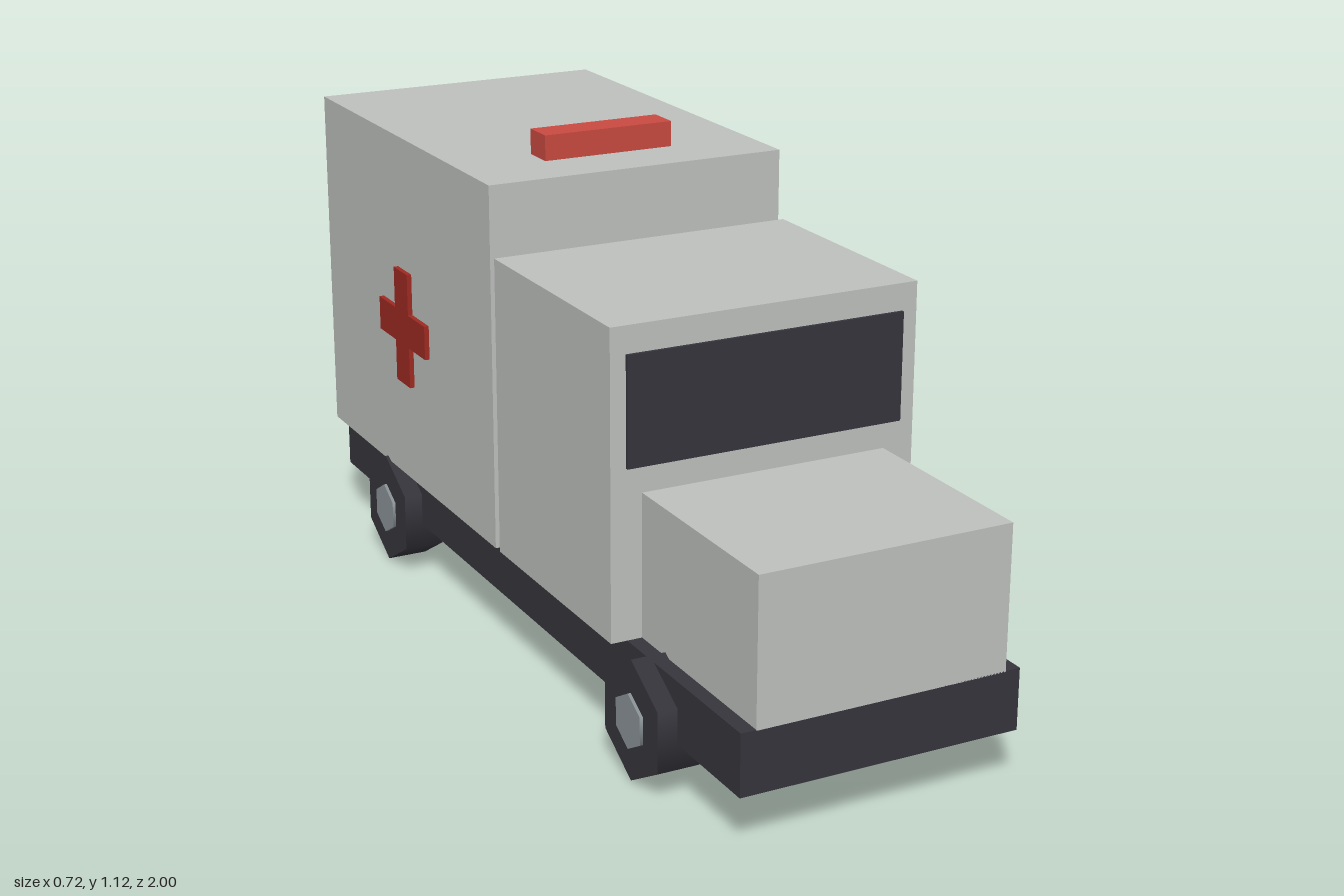
import * as THREE from 'three';

const mat = (name, color) => {
  const m = new THREE.MeshStandardMaterial({ color });
  m.name = name;
  return m;
};

export function createModel() {
  const group = new THREE.Group();
  const body = mat('body grey', 0xbfc1bf);
  const dark = mat('dark charcoal', 0x36353c);
  const lightRed = mat('light red', 0xca4a41);
  const crossRed = mat('cross red', 0x9f2b22);
  const steel = mat('hub steel', 0x8b9498);

  // Box given by its minimum and maximum on each axis
  const box = (name, material, [x0, x1], [y0, y1], [z0, z1], parent = group) => {
    const mesh = new THREE.Mesh(new THREE.BoxGeometry(x1 - x0, y1 - y0, z1 - z0), material);
    mesh.name = name;
    mesh.position.set((x0 + x1) / 2, (y0 + y1) / 2, (z0 + z1) / 2);
    parent.add(mesh);
  };

  // Chassis and bodywork
  box('chassis', dark, [-0.31, 0.31], [0.12, 0.253], [-1, 1]);
  box('rearCompartment', body, [-0.346, 0.346], [0.253, 1.06], [-0.982, -0.018]);
  box('cab', body, [-0.346, 0.346], [0.253, 0.909], [0.003, 0.54]);
  box('hood', body, [-0.277, 0.277], [0.251, 0.562], [0.54, 1]);
  box('windshield', dark, [-0.312, 0.312], [0.618, 0.851], [0.538, 0.547]);
  box('roofLight', lightRed, [-0.152, 0.152], [1.06, 1.116], [-0.23, -0.156]);

  // Hexagonal cylinder lying along x with a corner pointing up
  const hexagon = (name, material, radius, width, x, parent) => {
    const geometry = new THREE.CylinderGeometry(radius, radius, width, 6);
    geometry.rotateY(Math.PI / 6).rotateZ(Math.PI / 2);
    const mesh = new THREE.Mesh(geometry, material);
    mesh.name = name;
    mesh.position.x = x;
    parent.add(mesh);
  };

  for (const side of [-1, 1]) {
    // Side cross: an upright bar and two arms
    const cross = new THREE.Group();
    cross.name = side > 0 ? 'leftCross' : 'rightCross';
    const xs = side > 0 ? [0.344, 0.357] : [-0.357, -0.344];
    box('crossUpright', crossRed, xs, [0.486, 0.754], [-0.539, -0.461], cross);
    box('crossFrontArm', crossRed, xs, [0.581, 0.659], [-0.461, -0.366], cross);
    box('crossRearArm', crossRed, xs, [0.581, 0.659], [-0.634, -0.539], cross);
    group.add(cross);

    // Wheels with hubs passing through
    for (const z of [-0.64, 0.64]) {
      const wheel = new THREE.Group();
      wheel.name = (z > 0 ? 'front' : 'rear') + (side > 0 ? 'Left' : 'Right') + 'Wheel';
      wheel.position.set(side * 0.307, 0.131, z);
      hexagon('tire', dark, 0.131, 0.092, 0, wheel);
      hexagon('hub', steel, 0.06, 0.106, 0, wheel);
      group.add(wheel);
    }
  }
  return group;
}
